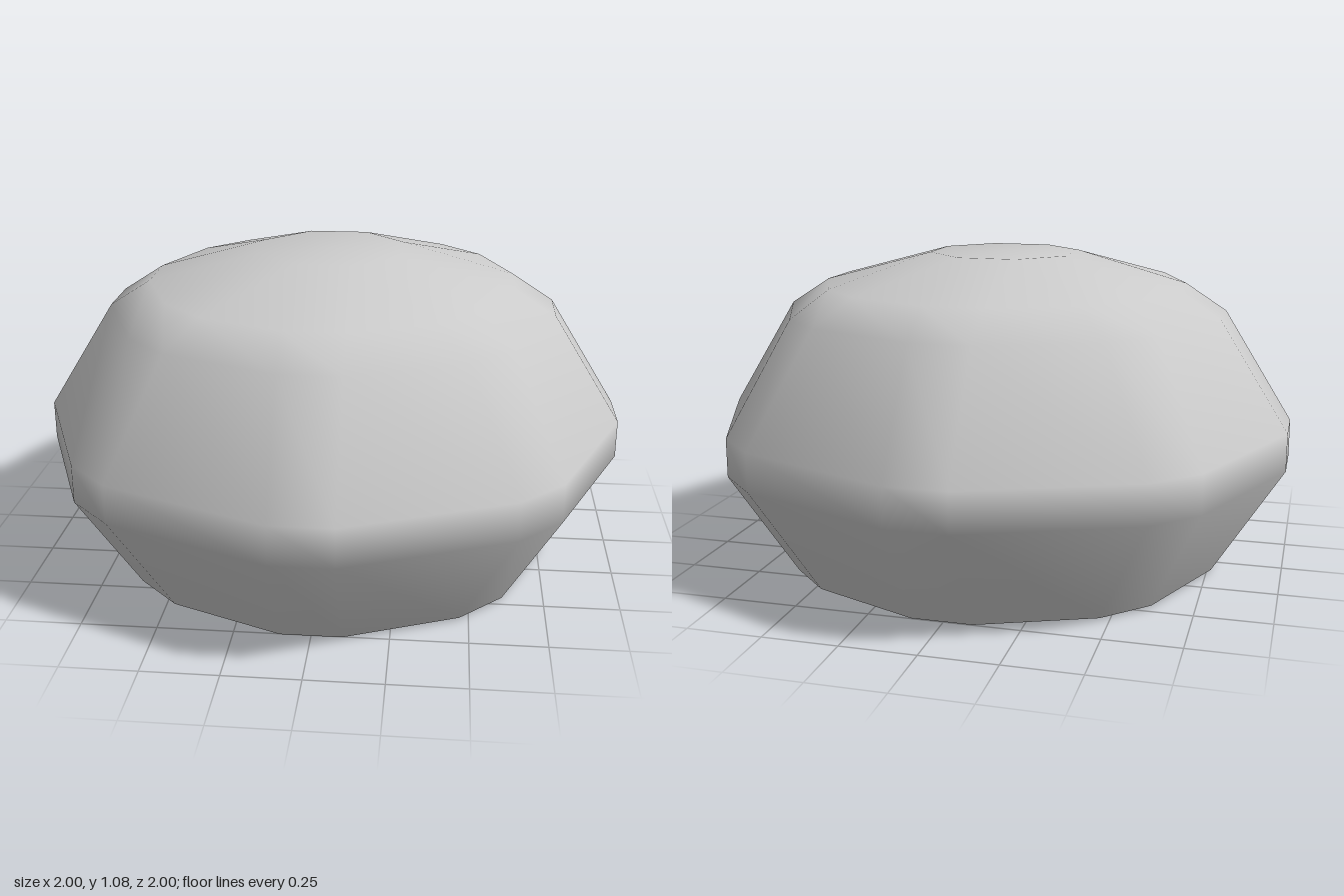
import * as THREE from 'three';
import { mergeVertices } from 'three/addons/utils/BufferGeometryUtils.js';

const SIDES = 8;
const BEVEL = 0.1; // half the width of each bevelled upright corner
const COUNT = SIDES * 2;

// Octagon ring whose corners are cut by a constant-width bevel
function ring(reach, y) {
  const points = [];
  for (let k = 0; k < SIDES; k++) {
    const a = (k / SIDES) * Math.PI * 2;
    for (const w of [-BEVEL, BEVEL]) {
      points.push(
        reach * Math.cos(a) - w * Math.sin(a), y,
        reach * Math.sin(a) + w * Math.cos(a));
    }
  }
  return points;
}

// Skin between stacked rings [reach, y], closed by a centre point at closeY
function loft(rings, closeY) {
  const positions = rings.flatMap(([reach, y]) => ring(reach, y));
  const index = [];
  for (let i = 0; i < rings.length - 1; i++) {
    for (let j = 0; j < COUNT; j++) {
      const n = (j + 1) % COUNT;
      const a = i * COUNT + j, b = i * COUNT + n;
      index.push(a, a + COUNT, b + COUNT, a, b + COUNT, b);
    }
  }
  const centre = rings.length * COUNT;
  positions.push(0, closeY, 0);
  const last = centre - COUNT;
  const up = rings.length > 1;
  for (let j = 0; j < COUNT; j++) {
    const a = last + j, b = last + ((j + 1) % COUNT);
    if (up) index.push(centre, b, a);
    else index.push(centre, a, b);
  }
  let geometry = new THREE.BufferGeometry();
  geometry.setAttribute('position', new THREE.Float32BufferAttribute(positions, 3));
  geometry.setIndex(index);
  geometry = mergeVertices(geometry, 1e-3);
  geometry.computeVertexNormals();
  return geometry;
}

export function createModel() {
  const group = new THREE.Group();
  group.name = 'facetedStone';
  const material = new THREE.MeshStandardMaterial({ color: 0xcccccc });

  // Smooth body: lower slope, waist band, upper slope, shoulder bevel, crown
  const topReach = BEVEL / Math.tan(Math.PI / SIDES);
  const body = new THREE.Mesh(loft([
    [0.765, 0.008], [1, 0.38], [1, 0.51],
    [0.765, 0.885], [0.625, 0.975], [topReach, 1.08],
  ], 1.08), material);
  body.name = 'body';

  // Almost flat underside with its own normals, so the lower rim stays crisp
  const base = new THREE.Mesh(loft([[0.765, 0.008]], 0), material);
  base.name = 'base';

  group.add(body, base);
  return group;
}
